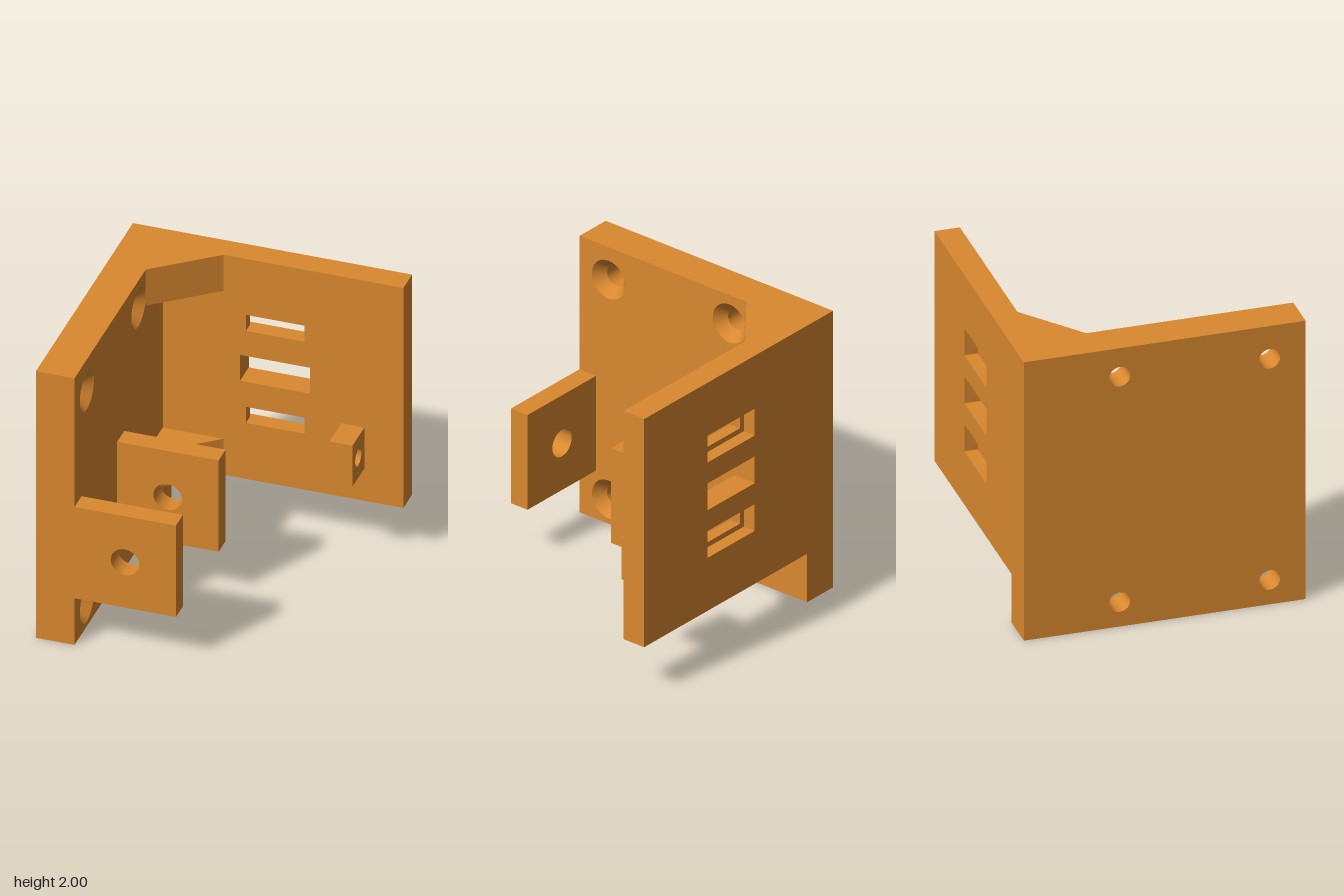
import * as THREE from 'three';
import { toCreasedNormals } from 'three/addons/utils/BufferGeometryUtils.js';

const SEG = 32;

// Closed rectangle outline, usable as a shape or as a hole
function rect(x0, y0, x1, y1) {
  return new THREE.Shape([[x0, y0], [x1, y0], [x1, y1], [x0, y1]].map(p => new THREE.Vector2(...p)));
}

function circle(x, y, r) {
  return new THREE.Path().absarc(x, y, r, 0, Math.PI * 2, true);
}

// Slab with holes, extruded along +z
function slab(shape, holes, depth) {
  shape.holes.push(...holes);
  return new THREE.ExtrudeGeometry(shape, { depth, bevelEnabled: false, curveSegments: SEG });
}

export function createModel() {
  const model = new THREE.Group();
  model.name = 'mountingBracket';
  const orange = new THREE.MeshStandardMaterial({ color: 0xd9882f });
  orange.name = 'orange';

  const add = (name, geometry, x = 0, y = 0, z = 0) => {
    const mesh = new THREE.Mesh(toCreasedNormals(geometry, 0.5), orange);
    mesh.name = name;
    mesh.position.set(x, y, z);
    model.add(mesh);
  };

  // Side wall, drawn as (-z, y) and extruded along x: bored layer, then countersunk layer
  const screws = [[0.70, 1.765], [-0.30, 1.795], [0.70, 0.175], [-0.30, 0.175]];
  const bore = 0.07, head = 0.137, sink = 0.07;
  const sideLayer = (r, depth) =>
    slab(rect(-0.94, 0, 0.94, 2), screws.map(([z, y]) => circle(-z, y, r)), depth).rotateY(Math.PI / 2);
  add('sideWallOuter', sideLayer(bore, 0.26 - sink), -0.94);
  add('sideWallInner', sideLayer(head, sink), -0.68 - sink);

  // Countersinks, facing inwards and opening towards +x
  for (const [z, y] of screws) {
    const cone = new THREE.LatheGeometry([new THREE.Vector2(head, sink), new THREE.Vector2(bore, 0)], SEG);
    add('countersink', cone.rotateZ(-Math.PI / 2), -0.68 - sink, y, z);
  }

  // Back wall: wide recesses behind, narrower slot openings in front
  const slots = [1.52, 1.175, 0.83];
  const lip = 0.08;
  const wide = y => rect(-0.16, y - 0.097, 0.31, y + 0.097);
  const narrow = y => rect(-0.12, y - 0.06, 0.275, y + 0.06);
  add('backWallRecessed', slab(rect(-0.68, 0.35, 0.94, 2), slots.map(wide), 0.17 - lip), 0, 0, -0.94);
  add('backWallFront', slab(rect(-0.68, 0.35, 0.94, 2),
    slots.map((y, i) => (i === 1 ? wide(y) : narrow(y))), lip), 0, 0, -0.77 - lip);

  // Corner gussets at the top and bottom of the back wall, drawn as (x, -z)
  for (const [name, y] of [['upperGusset', 1.73], ['lowerGusset', 0.35]]) {
    const triangle = new THREE.Shape([[-0.68, 0.77], [-0.68, 0.44], [-0.27, 0.77]].map(p => new THREE.Vector2(...p)));
    add(name, slab(triangle, [], 0.27).rotateX(-Math.PI / 2), 0, y, 0);
  }

  // Two pivot plates with aligned holes
  for (const [name, z] of [['middlePivotPlate', -0.025], ['frontPivotPlate', 0.803]]) {
    add(name, slab(rect(-0.68, 0.35, 0.003, 1.035), [circle(-0.34, 0.69, 0.096)], 0.137), 0, 0, z);
  }

  // Small drilled lug on the back wall, drawn as (-z, y)
  add('drilledLug', slab(rect(0.537, 0.593, 0.77, 0.9), [circle(0.65, 0.745, 0.06)], 0.155)
    .rotateY(Math.PI / 2), 0.523, 0, 0);

  return model;
}
